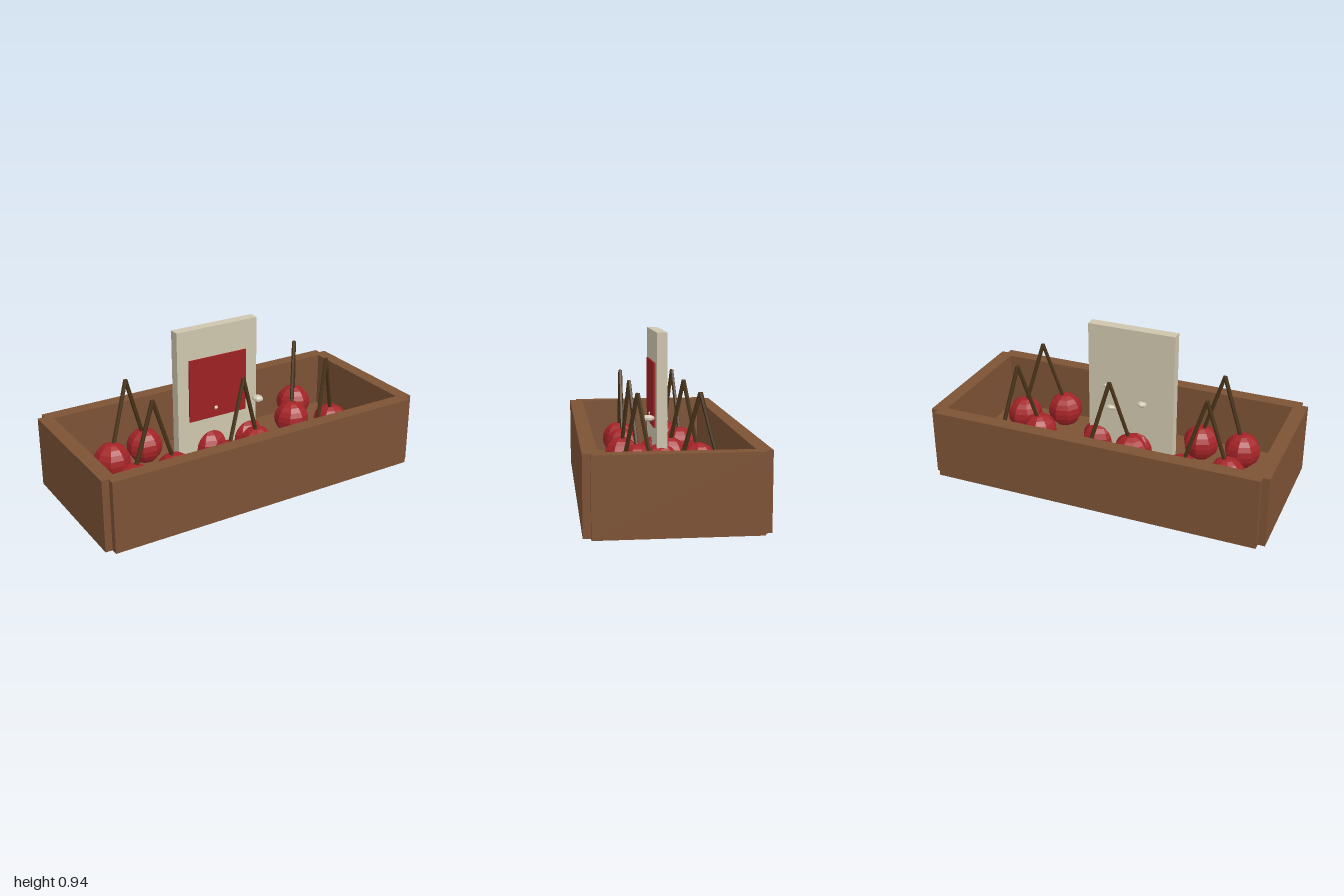
import * as THREE from 'three';

const mat = (name, color, flatShading = false) => {
  const m = new THREE.MeshStandardMaterial({ color, flatShading });
  m.name = name;
  return m;
};

export function createModel() {
  const wood = mat('crate wood', 0x7d5235);
  const cream = mat('cream board', 0xcec5ad);
  const redPaint = mat('red panel', 0x9c2023);
  const cherryRed = mat('cherry red', 0xa42427, true);
  const stemBrown = mat('stem brown', 0x4a3319, true);
  const pale = mat('pale pebble', 0xd3cab4, true);

  const model = new THREE.Group();
  model.name = 'cherryCrate';

  const add = (parent, name, geometry, material, x, y, z) => {
    const mesh = new THREE.Mesh(geometry, material);
    mesh.name = name;
    mesh.position.set(x, y, z);
    parent.add(mesh);
    return mesh;
  };
  // Box given by its minimum and maximum corners
  const block = (parent, name, material, a, b) => add(parent, name,
    new THREE.BoxGeometry(b[0] - a[0], b[1] - a[1], b[2] - a[2]), material,
    (a[0] + b[0]) / 2, (a[1] + b[1]) / 2, (a[2] + b[2]) / 2);

  // Open crate: the corners step in where the walls meet
  const crate = new THREE.Group();
  crate.name = 'crate';
  model.add(crate);
  const H = 0.415;
  block(crate, 'floor', wood, [-0.96, 0, -0.425], [0.96, 0.08, 0.425]);
  block(crate, 'frontWall', wood, [-0.96, 0, 0.385], [0.96, H, 0.465]);
  block(crate, 'backWall', wood, [-0.96, 0, -0.465], [0.96, H, -0.385]);
  block(crate, 'leftWall', wood, [0.92, 0, -0.425], [1, H, 0.425]);
  block(crate, 'rightWall', wood, [-1, 0, -0.425], [-0.92, H, 0.425]);

  // Upright sign with a red panel
  const sign = new THREE.Group();
  sign.name = 'sign';
  model.add(sign);
  block(sign, 'board', cream, [-0.34, 0.001, -0.045], [0.175, 0.935, 0.015]);
  block(sign, 'panel', redPaint, [-0.27, 0.39, 0.015], [0.1, 0.76, 0.0245]);

  // Cherry pairs: [centre x, centre z, turn of the pair about y]
  const pairs = [
    [-0.57, -0.165, 0.29], [-0.57, 0.16, 0],
    [0, -0.16, 0.6], [0, 0.155, 0.29], [0, -0.01, 0],
    [0.567, -0.167, 0.92], [0.567, 0.16, 0.6],
  ];
  const cherryGeo = new THREE.SphereGeometry(0.105, 8, 10);
  const foot = new THREE.Vector3(0.12, 0.26, 0);
  const apex = new THREE.Vector3(0, 0.65, 0);
  const stemDir = apex.clone().sub(foot);
  const stemGeo = new THREE.CylinderGeometry(0.012, 0.012, stemDir.length(), 6);
  for (const [x, z, turn] of pairs) {
    const pair = new THREE.Group();
    pair.name = 'cherryPair';
    pair.position.set(x, 0, z);
    pair.rotation.y = turn;
    model.add(pair);
    for (const s of [-1, 1]) {
      add(pair, 'cherry', cherryGeo, cherryRed, s * 0.125, 0.2, 0);
      const stem = add(pair, 'stem', stemGeo, stemBrown, s * 0.06, 0.455, 0);
      stem.rotation.z = s * Math.atan2(foot.x, stemDir.y);
    }
  }

  // Small flattened pebbles around the sign: [x, y, z, rx, ry, rz]
  const pebbles = [
    [0.157, 0.457, 0.062, 0.031, 0.019, 0.037],
    [-0.1, 0.445, 0.018, 0.014, 0.014, 0.016],
    [-0.15, 0.49, -0.045, 0.03, 0.017, 0.027],
    [0.04, 0.433, -0.043, 0.03, 0.016, 0.024],
    [0.072, 0.566, -0.035, 0.02, 0.014, 0.018],
  ];
  const pebbleGeo = new THREE.SphereGeometry(1, 8, 5);
  for (const [x, y, z, rx, ry, rz] of pebbles) {
    add(model, 'pebble', pebbleGeo, pale, x, y, z).scale.set(rx, ry, rz);
  }
  return model;
}
